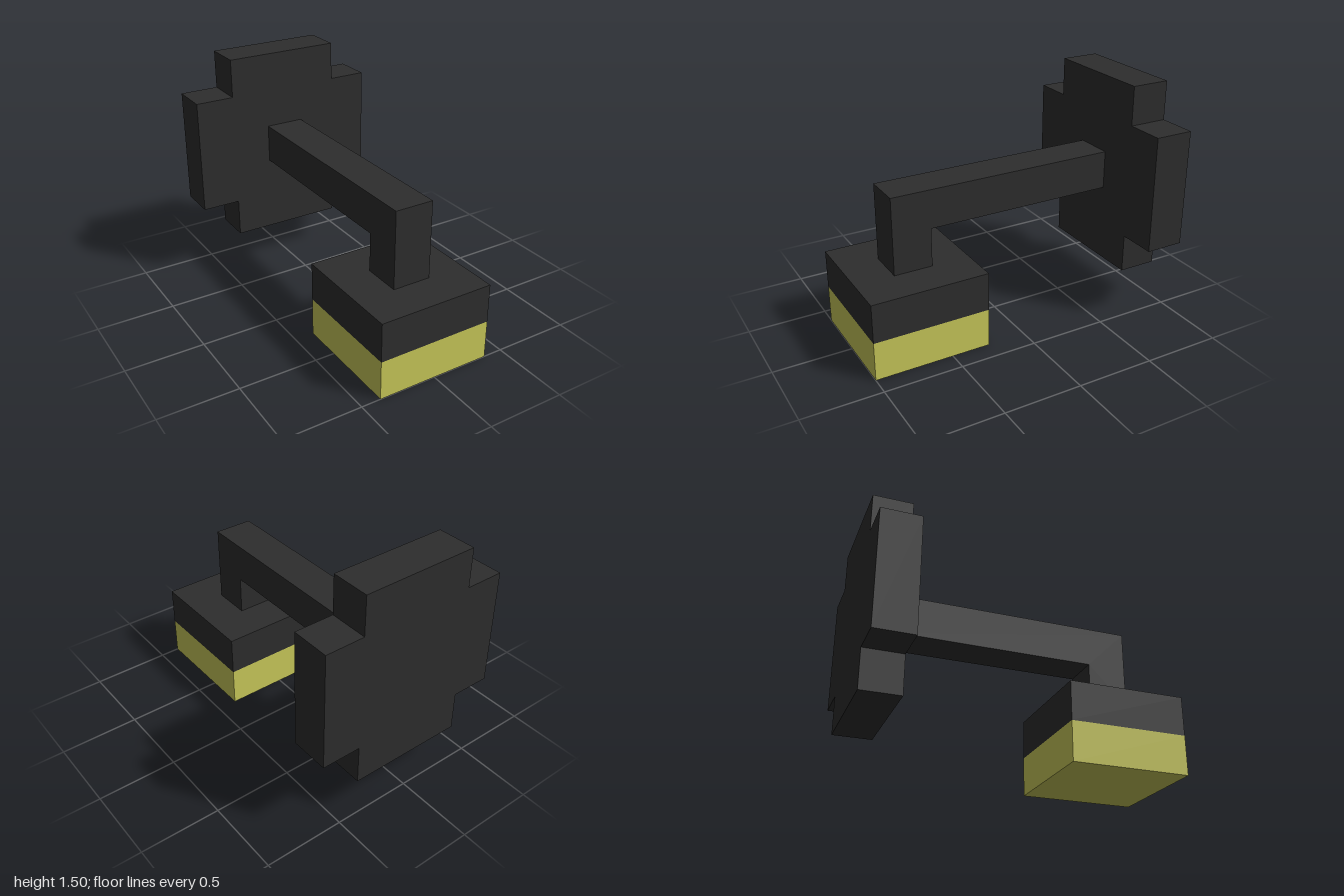
import * as THREE from 'three';

const dark = new THREE.MeshStandardMaterial({ name: 'dark metal', color: 0x2e2e2e });
const glow = new THREE.MeshStandardMaterial({ name: 'yellow glow', color: 0xcaca5a });

// Flat outline extruded to a depth, centred on z = 0
function slab(points, depth) {
  const shape = new THREE.Shape(points.map(([x, y]) => new THREE.Vector2(x, y)));
  return new THREE.ExtrudeGeometry(shape, { depth, bevelEnabled: false }).translate(0, 0, -depth / 2);
}

export function createModel() {
  const model = new THREE.Group();
  model.name = 'wallLamp';
  const add = (name, geometry, material, x, y, z) => {
    const mesh = new THREE.Mesh(geometry, material);
    mesh.name = name;
    mesh.position.set(x, y, z);
    model.add(mesh);
  };

  // Cross-shaped wall plate: right half outline, mirrored for the left
  const half = [[0.375, 0.25], [0.375, 0.5], [0.625, 0.5], [0.625, 1.25], [0.375, 1.25], [0.375, 1.5]];
  const outline = [...half, ...half.map(([x, y]) => [-x, y]).reverse()];
  add('wallPlate', slab(outline, 0.25), dark, 0, 0, -0.875);

  // Bent arm: side profile in (z, y), turned to run along z
  const profile = [[-0.75, 0.75], [0.5, 0.75], [0.5, 0.5], [0.75, 0.5], [0.75, 1], [-0.75, 1]];
  add('arm', slab(profile, 0.25).rotateY(-Math.PI / 2), dark, 0, 0, 0);

  // Lamp head: dark cap over the glowing block
  add('lampCap', new THREE.BoxGeometry(0.75, 0.25, 0.75), dark, 0, 0.375, 0.625);
  add('lampLight', new THREE.BoxGeometry(0.75, 0.25, 0.75), glow, 0, 0.125, 0.625);

  return model;
}
